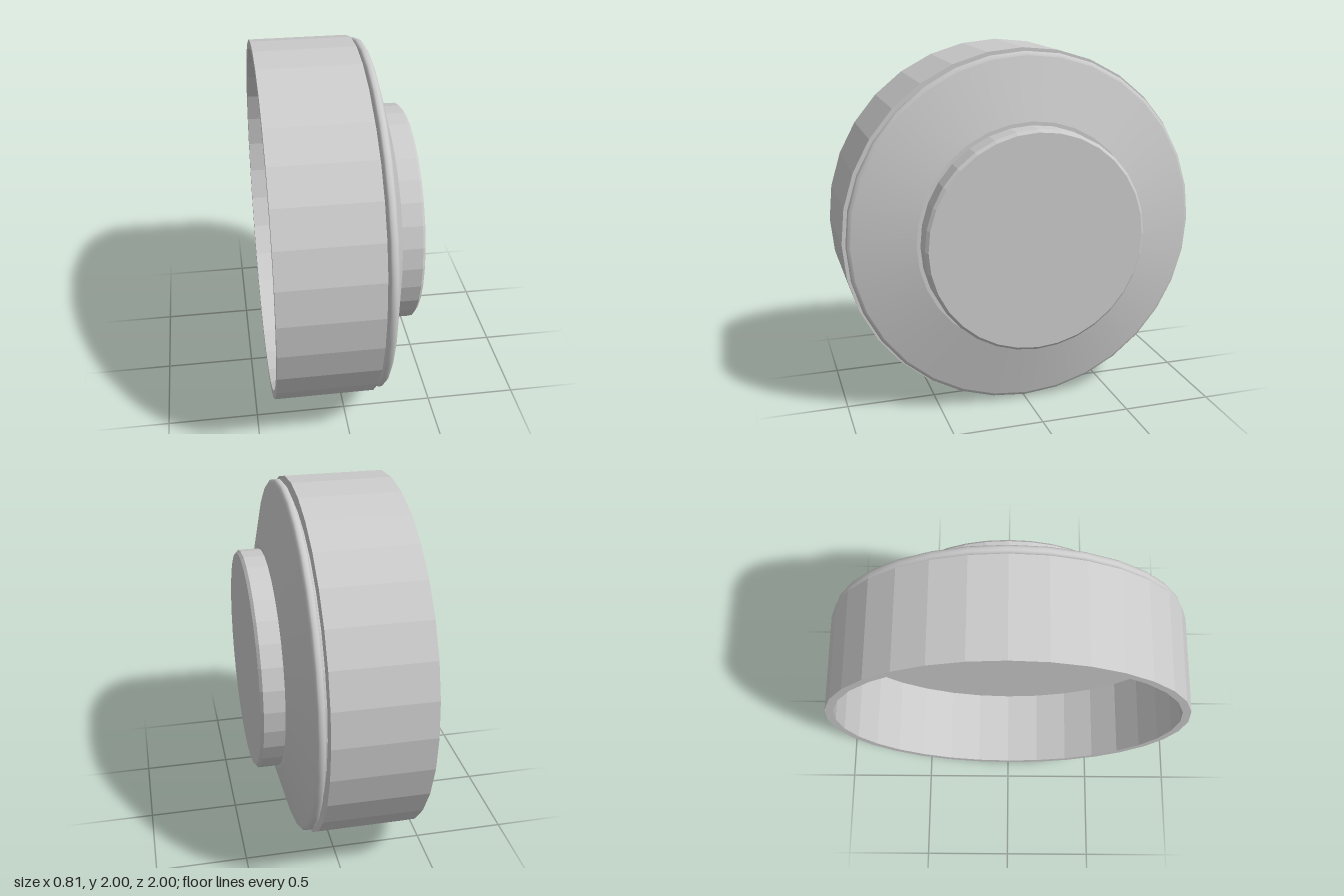
import * as THREE from 'three';

const SIDES = 32;

// Turned part: pairs of [radius, distance along the axis]
function turned(name, profile, flatShading) {
  const points = profile.map(([r, d]) => new THREE.Vector2(r, d));
  const material = new THREE.MeshStandardMaterial({ color: 0xcccccc, flatShading });
  const mesh = new THREE.Mesh(new THREE.LatheGeometry(points, SIDES), material);
  mesh.name = name;
  return mesh;
}

export function createModel() {
  const model = new THREE.Group();
  model.name = 'cap';

  // Everything is turned about one axis, laid along x
  const body = new THREE.Group();
  body.name = 'turnedBody';
  body.rotation.z = -Math.PI / 2;
  body.position.y = 1;
  model.add(body);

  // Hollow cup: recessed floor, inner wall, open rim, outer wall, shoulder, groove neck
  body.add(turned('cup', [
    [0, 0.03], [0.955, 0.03], [0.955, -0.407], [1, -0.407],
    [1, 0.13], [0.925, 0.13], [0.925, 0.148],
  ], true));

  // Rounded lip running into the conical face
  body.add(turned('lip', [
    [0.925, 0.146], [0.965, 0.146], [0.977, 0.15], [0.984, 0.158], [0.985, 0.17],
    [0.983, 0.18], [0.977, 0.187], [0.965, 0.193],
  ], false));
  body.add(turned('conicalFace', [[0.965, 0.193], [0.63, 0.28]], false));

  // Flat step and raised disc with a chamfered edge
  body.add(turned('raisedDisc', [
    [0.63, 0.28], [0.61, 0.28], [0.61, 0.392], [0.594, 0.407], [0, 0.407],
  ], true));

  return model;
}
